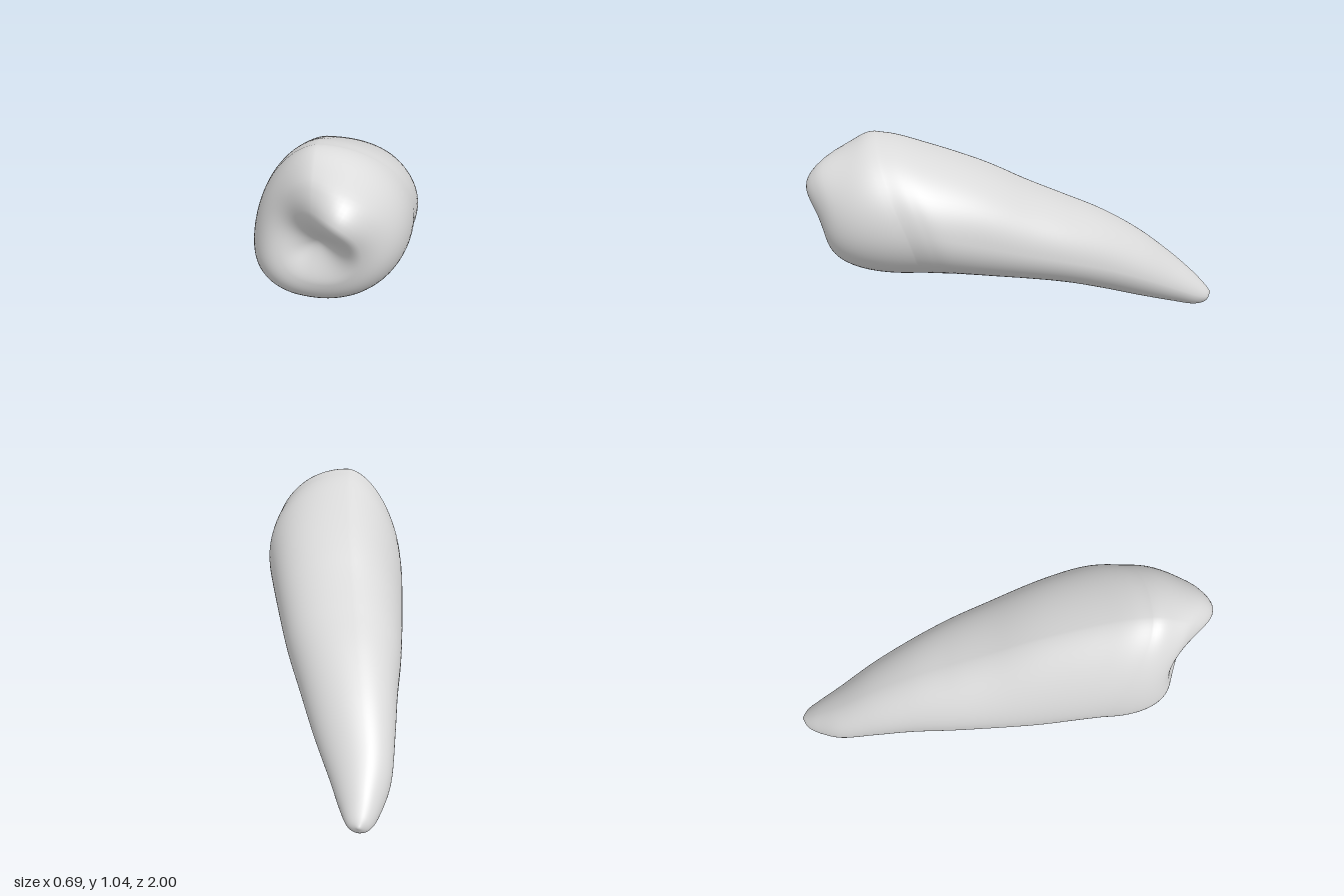
import * as THREE from 'three';
import { mergeVertices } from 'three/addons/utils/BufferGeometryUtils.js';

const SIDES = 80, BODY_STEPS = 110, CAP_STEPS = 36;

// Cross-sections from root tip to crown: z, left x, right x, bottom y, top y
const SECTIONS = [
  [-1.0, -0.17, -0.16, 0.055, 0.065],
  [-0.97, -0.215, -0.115, 0.012, 0.105],
  [-0.9, -0.255, -0.08, 0.002, 0.18],
  [-0.78, -0.297, -0.03, 0.035, 0.29],
  [-0.6, -0.312, 0.05, 0.1, 0.44],
  [-0.4, -0.322, 0.125, 0.175, 0.57],
  [-0.2, -0.338, 0.195, 0.242, 0.67],
  [0.0, -0.345, 0.25, 0.288, 0.77],
  [0.2, -0.348, 0.3, 0.323, 0.885],
  [0.38, -0.348, 0.34, 0.351, 0.985],
  [0.47, -0.346, 0.343, 0.356, 1.028],
  [0.55, -0.342, 0.334, 0.359, 1.045],
];

const smooth = THREE.MathUtils.smoothstep;
const lerp = THREE.MathUtils.lerp;

// Rounded, lopsided outline through the four extremes of a section;
// each quarter has its own fullness (2 is an ellipse)
function outline(l, r, b, t, z, a) {
  const c = Math.cos(a), s = Math.sin(a);
  const crown = smooth(z, -0.6, 0.3);
  const neck = smooth(z, -0.8, -0.2) * (1 - smooth(z, 0.2, 0.55));
  const midX = lerp(l, r, s > 0 ? 0.43 : lerp(0.5, 0.38, crown));
  const midY = lerp(b, t, c > 0 ? 0.48 : lerp(0.45, 0.3, crown));
  const left = s > 0 ? lerp(2, 1.68, crown) : 2.3 + 0.8 * neck;
  const right = s > 0 ? 2 + 0.35 * neck : lerp(1.8, 2.05, crown);
  const power = 2 / (c > 0 ? right : left);
  const u = Math.abs(c) ** power, v = Math.abs(s) ** power;
  const x = midX + u * (c > 0 ? r - midX : l - midX);
  const y = midY + v * (s > 0 ? t - midY : b - midY);
  // the crown's widest line leans forward at the top
  const lean = 0.16 * (y - 0.7) + 0.19 * smooth(y, 0.55, 1.15) * 0.5;
  return new THREE.Vector3(x, y, z + lean * smooth(z, 0.05, 0.55));
}

// Biting surface: a raised rim around a hollow, with one tall broad cusp
function capPoint(edge, s) {
  const x = lerp(-0.04, edge.x, s), y = lerp(0.7, edge.y, s);
  const dir = Math.atan2(edge.y - 0.7, edge.x + 0.04);
  const rim = 0.856 + 0.066 * Math.cos(dir + 0.55);
  const k = Math.max(0, (s - 0.5) / 0.5);
  let z = s > 0.5
    ? edge.z + (rim - edge.z) * Math.max(0, 1 - k ** 2.3) ** (1 / 2.2)
    : lerp(0.785, rim, smooth(s, 0, 0.5));
  const d2 = (x - 0.035) ** 2 + (y - 0.85) ** 2;
  z += 0.148 * Math.exp(-d2 / 0.025) * (1 - smooth(s, 0.75, 1));
  return new THREE.Vector3(x, y, z);
}

function toothGeometry() {
  const curve = (f) => new THREE.CatmullRomCurve3(SECTIONS.map(f), false, 'catmullrom', 0.5);
  const xs = curve(([z, l, r]) => new THREE.Vector3(l, r, z));
  const ys = curve(([z, , , b, t]) => new THREE.Vector3(b, t, z));
  const rings = [];

  // root and sides of the crown
  for (let i = 0; i <= BODY_STEPS; i++) {
    const p = xs.getPoint(i / BODY_STEPS), q = ys.getPoint(i / BODY_STEPS);
    rings.push(Array.from({ length: SIDES }, (_, j) =>
      outline(p.x, p.y, q.x, q.y, p.z, (j / SIDES) * Math.PI * 2)));
  }
  // biting end, closing towards its centre
  const edge = rings[BODY_STEPS];
  for (let i = 1; i <= CAP_STEPS; i++) {
    const u = i / CAP_STEPS;
    const s = u < 0.5 ? 0.5 + 0.5 * Math.cos(u * Math.PI) : 1 - u;
    rings.push(edge.map((e) => capPoint(e, s)));
  }
  // close the root tip
  rings.unshift(rings[0].map(() => new THREE.Vector3(-0.165, 0.06, -1)));

  const index = [];
  for (let i = 0; i < rings.length - 1; i++) {
    for (let j = 0; j < SIDES; j++) {
      const k = (j + 1) % SIDES;
      const a = i * SIDES + j, b = i * SIDES + k;
      index.push(a, b, b + SIDES, a, b + SIDES, a + SIDES);
    }
  }
  let geometry = new THREE.BufferGeometry().setFromPoints(rings.flat());
  geometry.setIndex(index);
  geometry = mergeVertices(geometry, 1e-5);
  geometry.computeVertexNormals();
  return geometry;
}

export function createModel() {
  const group = new THREE.Group();
  group.name = 'tooth';
  const enamel = new THREE.MeshStandardMaterial({ color: 0xdadada });
  enamel.name = 'grey enamel';
  const tooth = new THREE.Mesh(toothGeometry(), enamel);
  tooth.name = 'crownAndRoot';
  group.add(tooth);
  return group;
}
